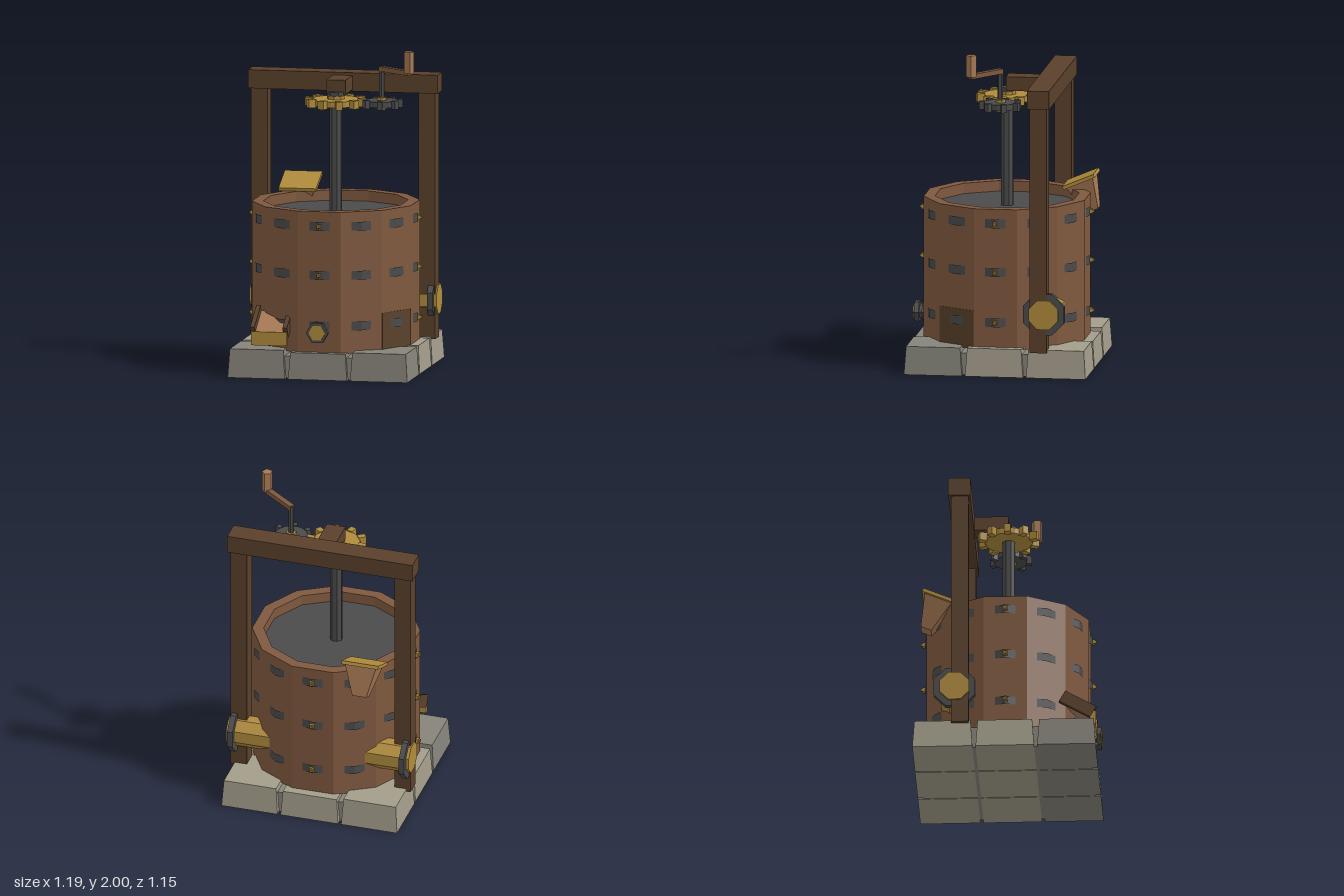
import * as THREE from 'three';

const mat = (name, color) => {
  const m = new THREE.MeshStandardMaterial({ color });
  m.name = name;
  return m;
};

export function createModel() {
  const root = new THREE.Group();
  root.name = 'woodenPress';
  const staveWood = mat('staveWood', 0x80593f);
  const frameWood = mat('frameWood', 0x5a402b);
  const paleWood = mat('paleWood', 0xa87a55);
  const brass = mat('brass', 0xb08c3c);
  const iron = mat('iron', 0x4b4b4c);
  const stoneLight = mat('stoneLight', 0xa39d8b);
  const stoneGrey = mat('stoneGrey', 0x86847a);

  // Faceted mesh helper
  function add(name, geo, material, x = 0, y = 0, z = 0, parent = root) {
    const g = geo.index ? geo.toNonIndexed() : geo;
    g.computeVertexNormals();
    const m = new THREE.Mesh(g, material);
    m.name = name;
    m.position.set(x, y, z);
    parent.add(m);
    return m;
  }
  // Box given by its min and max corners
  const box = (name, material, a, b, parent = root) =>
    add(name, new THREE.BoxGeometry(b[0] - a[0], b[1] - a[1], b[2] - a[2]), material,
      (a[0] + b[0]) / 2, (a[1] + b[1]) / 2, (a[2] + b[2]) / 2, parent);
  // Upright prism between two heights
  const prism = (name, material, r, sides, x, z, y0, y1, turn = 0) =>
    add(name, new THREE.CylinderGeometry(r, r, y1 - y0, sides, 1, false, turn), material, x, (y0 + y1) / 2, z);
  // Box whose top is inset on all sides
  function taperedBox(w, h, d, inset) {
    const g = new THREE.BoxGeometry(w, h, d), p = g.attributes.position;
    for (let i = 0; i < p.count; i++) if (p.getY(i) > 0) {
      p.setX(i, p.getX(i) - Math.sign(p.getX(i)) * inset);
      p.setZ(i, p.getZ(i) - Math.sign(p.getZ(i)) * inset);
    }
    return g;
  }

  // Stone base: nine tapered blocks around a recessed core
  box('mortar', stoneGrey, [-0.53, 0.003, -0.535], [0.53, 0.14, 0.525]);
  const xs = [[-0.565, -0.205], [-0.185, 0.185], [0.205, 0.565]];
  const zs = [[-0.57, -0.2], [-0.18, 0.18], [0.2, 0.56]];
  const heights = [0.178, 0.165, 0.175];
  zs.forEach(([z0, z1], j) => xs.forEach(([x0, x1], i) => {
    const h = heights[(i + j * 3) % 3];
    add('baseStone', taperedBox(x1 - x0, h, z1 - z0, 0.012), j === 2 ? stoneGrey : stoneLight,
      (x0 + x1) / 2, h / 2, (z0 + z1) / 2);
  }));

  // Twelve-sided tub with a sunken lid
  const R = 0.5 / Math.cos(Math.PI / 12), r = 0.432 / Math.cos(Math.PI / 12);
  const tub = [[0, 0.16], [R, 0.16], [R, 1.04], [r, 1.04], [r, 0.96]].map(p => new THREE.Vector2(...p));
  add('tub', new THREE.LatheGeometry(tub, 12, Math.PI / 12), staveWood);
  prism('lid', iron, r, 12, 0, 0, 0.94, 0.975, Math.PI / 12);
  // Dark repaired stave foot
  const patch = add('stavePatch', new THREE.BoxGeometry(0.265, 0.24, 0.006), frameWood,
    Math.sin(Math.PI / 3) * 0.5, 0.28, Math.cos(Math.PI / 3) * 0.5);
  patch.rotation.y = Math.PI / 3;

  // Iron hoops, turned so their corners stand out of the staves, with bolts
  for (const y of [0.33, 0.645, 0.95]) {
    add('hoop', new THREE.CylinderGeometry(0.517, 0.517, 0.055, 12, 1, true), iron, 0, y, 0);
    for (let k = 0; k < 4; k++) {
      const bolt = new THREE.Group();
      bolt.name = 'hoopBolt';
      bolt.rotation.y = k * Math.PI / 2;
      root.add(bolt);
      box('boltShank', brass, [-0.008, y - 0.008, 0.5], [0.008, y + 0.008, 0.542], bolt);
      box('boltNut', brass, [-0.014, y - 0.014, 0.515], [0.014, y + 0.014, 0.532], bolt);
    }
  }

  // Upright frame
  for (const s of [-1, 1]) box('post', frameWood, [s * 0.527 - 0.052, 0.16, -0.33], [s * 0.527 + 0.052, 1.7, -0.223]);
  box('crossBeam', frameWood, [-0.596, 1.69, -0.347], [0.596, 1.805, -0.21]);
  box('shaftBracket', frameWood, [-0.06, 1.7, -0.215], [0.06, 1.788, 0]);

  // Main shaft and gears
  prism('shaft', iron, 0.04, 8, 0, 0, 0.96, 1.7, Math.PI / 8);
  prism('shaftNut', iron, 0.048, 6, 0, 0, 1.68, 1.715, Math.PI / 6);
  prism('gearCollar', brass, 0.056, 8, 0, 0, 1.665, 1.692);
  function gear(name, material, x, inner, outer, teeth, width, turn) {
    prism(name, material, inner, teeth * 2, x, 0, 1.635, 1.672, turn);
    for (let k = 0; k < teeth; k++) {
      const a = turn + k * 2 * Math.PI / teeth, m = (inner * 0.95 + outer) / 2;
      const t = add(name + 'Tooth', new THREE.BoxGeometry(outer - inner * 0.95, 0.052, width), material,
        x + Math.cos(a) * m, 1.653, Math.sin(a) * m);
      t.rotation.y = -a;
    }
  }
  gear('mainGear', brass, 0, 0.148, 0.19, 10, 0.04, 0);
  gear('pinion', iron, 0.29, 0.102, 0.13, 7, 0.032, 1.48);

  // Hand crank
  prism('crankCollar', brass, 0.032, 6, 0.29, 0, 1.615, 1.69);
  prism('crankRod', iron, 0.018, 6, 0.29, 0, 1.63, 1.875);
  const arm = add('crankArm', new THREE.BoxGeometry(0.27, 0.03, 0.036), staveWood, 0.39, 1.867, 0.075);
  arm.rotation.y = -Math.atan2(0.15, 0.2);
  prism('crankHandle', paleWood, 0.034, 5, 0.49, 0.152, 1.865, 2.0, 0.4);

  // Side axles with iron flanges
  for (const s of [-1, 1]) {
    const parts = [['axle', brass, 0.098, 0.3, 0.588], ['flange', iron, 0.138, 0.535, 0.57]];
    for (const [name, material, rad, x0, x1] of parts) {
      const g = new THREE.CylinderGeometry(rad, rad, x1 - x0, 8, 1, false, Math.PI / 8).rotateZ(Math.PI / 2);
      add(name, g, material, s * (x0 + x1) / 2, 0.4, -0.31);
    }
  }

  // Front drain spout
  const drain = [['drainFlange', iron, 0.058, 0.48, 0.525], ['drainNeck', iron, 0.045, 0.52, 0.55],
    ['drainNut', iron, 0.07, 0.542, 0.572], ['drainPlug', brass, 0.052, 0.56, 0.58]];
  for (const [name, material, rad, z0, z1] of drain) {
    const g = new THREE.CylinderGeometry(rad, rad, z1 - z0, 6, 1, false, Math.PI / 6).rotateX(Math.PI / 2);
    add(name, g, material, 0, 0.295, (z0 + z1) / 2);
  }

  // Sloping front chute: floor, side boards and lip
  const chute = new THREE.Group();
  chute.name = 'chute';
  chute.position.set(-0.308, 0.32, 0.455);
  chute.rotation.x = 0.52;
  root.add(chute);
  box('chuteFloor', paleWood, [-0.1, -0.015, -0.13], [0.1, 0.01, 0.085], chute);
  for (const s of [-1, 1]) box('chuteSide', frameWood, [s * 0.102 - 0.014, -0.03, -0.13], [s * 0.102 + 0.014, 0.05, 0.09], chute);
  box('chuteLip', brass, [-0.42, 0.205, 0.52], [-0.195, 0.29, 0.555]);

  // Rear hopper: tilted brass tray on a tapering wooden funnel
  const hopper = new THREE.Group();
  hopper.name = 'hopper';
  hopper.position.set(-0.308, 1.09, -0.415);
  hopper.rotation.x = 0.4;
  root.add(hopper);
  box('hopperTray', brass, [-0.118, -0.01, -0.105], [0.118, 0.012, 0.105], hopper);
  add('hopperFunnel', taperedBox(0.2, 0.2, 0.18, 0.055).rotateX(Math.PI), paleWood, 0, -0.105, 0, hopper);

  return root;
}
